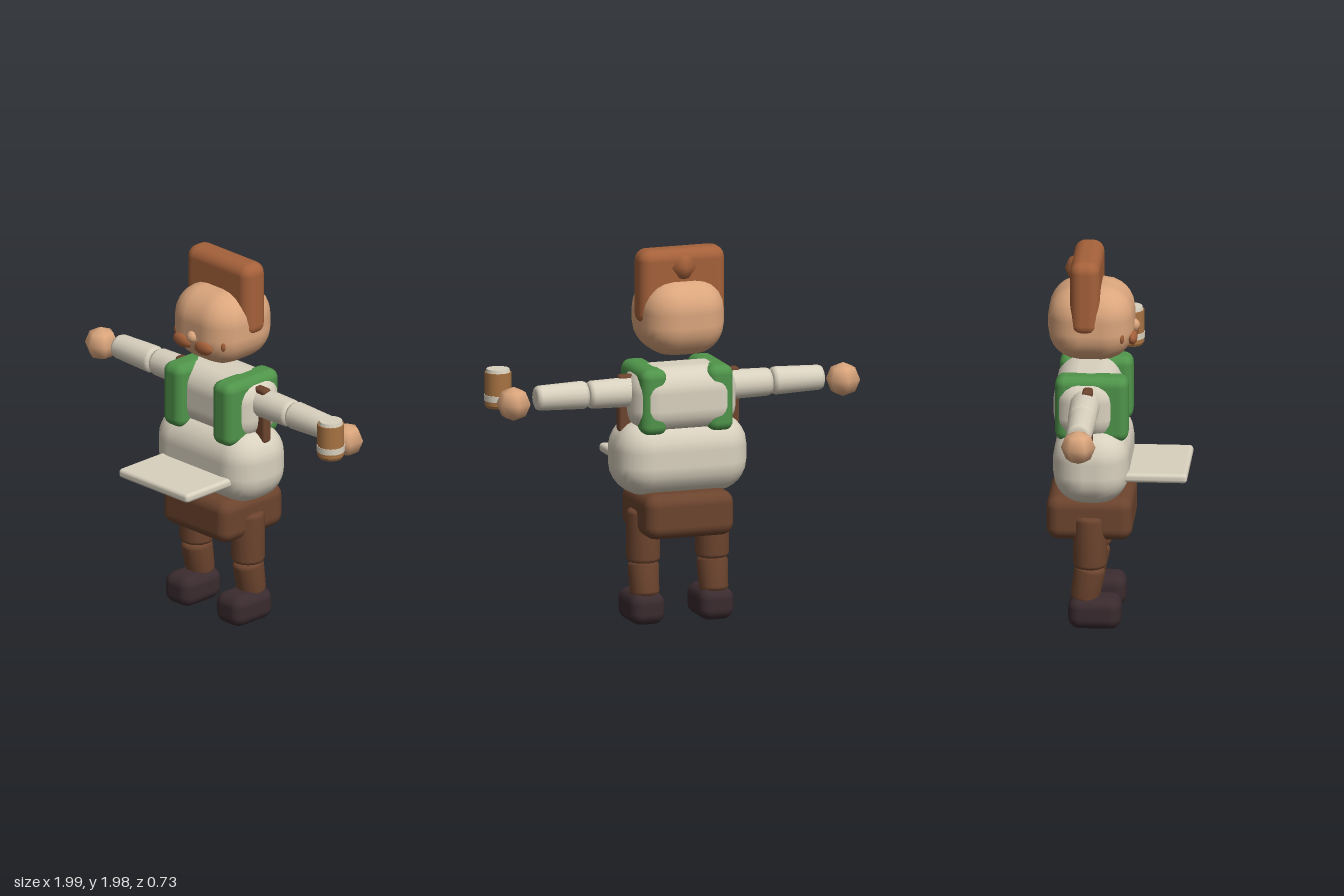
import * as THREE from 'three';
import { RoundedBoxGeometry } from 'three/addons/geometries/RoundedBoxGeometry.js';

const mat = (name, color) => {
  const m = new THREE.MeshStandardMaterial({ color });
  m.name = name;
  return m;
};

export function createModel() {
  const skin = mat('skin', 0xdba67d);
  const hair = mat('ginger hair', 0xa5613a);
  const linen = mat('linen', 0xd9d1bf);
  const green = mat('green cloth', 0x4f944a);
  const leather = mat('brown leather', 0x6c442e);
  const boot = mat('dark boot', 0x3a2b2f);
  const wood = mat('mug wood', 0xa87443);

  const model = new THREE.Group();
  model.name = 'innkeeper';
  const CX = -0.017; // the body's own middle line

  const add = (name, geometry, material, x, y, z) => {
    const mesh = new THREE.Mesh(geometry, material);
    mesh.name = name;
    mesh.position.set(x, y, z);
    model.add(mesh);
    return mesh;
  };
  // soft block given by its size and corner radius
  const block = (name, material, [w, h, d], r, x, y, z, segments = 3) =>
    add(name, new RoundedBoxGeometry(w, h, d, segments, r), material, x, y, z);
  // limb segment along y with bevelled ends
  const limb = (name, material, rBottom, rTop, length, x, y, z) => {
    const h = length / 2, b = 0.025;
    const profile = [
      [0, -h], [rBottom - b, -h], [rBottom - b * 0.3, -h + b * 0.3], [rBottom, -h + b],
      [rTop, h - b], [rTop - b * 0.3, h - b * 0.3], [rTop - b, h], [0, h],
    ].map(([px, py]) => new THREE.Vector2(px, py));
    return add(name, new THREE.LatheGeometry(profile, 16), material, x, y, z);
  };
  // coarse ball with a ridge facing front and back
  const ball = (name, material, r, x, y, z) =>
    add(name, new THREE.SphereGeometry(r, 6, 4).rotateY(Math.PI / 6), material, x, y, z);

  // head
  block('head', skin, [0.445, 0.4, 0.445], 0.165, CX, 1.618, -0.143);
  block('hair', hair, [0.47, 0.4, 0.155], 0.06, CX, 1.78, -0.167);
  ball('hairBun', hair, 0.08, CX, 1.885, -0.203);
  add('nose', new THREE.SphereGeometry(0.035, 8, 6), skin, CX, 1.582, 0.073);

  // torso
  block('chest', linen, [0.58, 0.35, 0.34], 0.13, CX, 1.19, -0.16);
  block('belly', linen, [0.717, 0.41, 0.395], 0.165, CX, 0.885, -0.133);
  block('apron', linen, [0.51, 0.05, 0.42], 0.02, CX, 0.828, 0.157, 2);
  block('hips', leather, [0.487, 0.237, 0.445], 0.065, CX, 0.59, -0.143);
  block('backStrap', leather, [0.66, 0.3, 0.055], 0.015, CX, 1.17, -0.145, 2);

  for (const s of [-1, 1]) {
    const side = s > 0 ? 'left' : 'right';
    const X = (d) => CX + s * d;

    // moustache
    const whisker = add(side + 'Moustache', new THREE.SphereGeometry(1, 10, 8), hair, X(0.078), 1.54, 0.073);
    whisker.scale.set(0.065, 0.037, 0.026);
    whisker.rotation.z = s * 0.08;
    const tip = add(side + 'MoustacheTip', new THREE.SphereGeometry(1, 8, 6), hair, X(0.172), 1.562, 0.022);
    tip.scale.set(0.014, 0.029, 0.014);

    // waistcoat panel
    block(side + 'Waistcoat', green, [0.145, 0.35, 0.38], 0.05, X(0.181), 1.19, -0.13);

    // arm and hand
    limb(side + 'UpperArm', linen, 0.08, 0.074, 0.32, X(0.343), 1.229, -0.16).rotation.z = -s * Math.PI / 2;
    limb(side + 'Forearm', linen, 0.074, 0.066, 0.285, X(0.646), 1.231, -0.157).rotation.z = -s * Math.PI / 2;
    ball(side + 'Hand', skin, 0.09, X(0.903), 1.21, -0.152);

    // leg and boot
    limb(side + 'Thigh', leather, 0.088, 0.088, 0.285, X(0.189), 0.463, -0.14);
    limb(side + 'Shin', leather, 0.076, 0.082, 0.19, X(0.189), 0.235, -0.153).rotation.x = 0.17;
    block(side + 'Boot', boot, [0.19, 0.17, 0.275], 0.06, X(0.189), 0.085, -0.113);
  }

  // mug of ale in the left hand
  const cylinder = (name, material, r, y0, y1, rTop = r) =>
    add(name, new THREE.CylinderGeometry(rTop, r, y1 - y0, 16), material, 0.92, (y0 + y1) / 2, -0.005);
  cylinder('mugBase', wood, 0.062, 1.165, 1.18, 0.07);
  cylinder('mugBody', wood, 0.07, 1.18, 1.352);
  cylinder('mugBand', linen, 0.073, 1.202, 1.234);
  cylinder('mugFoam', linen, 0.066, 1.34, 1.37, 0.06);

  return model;
}
